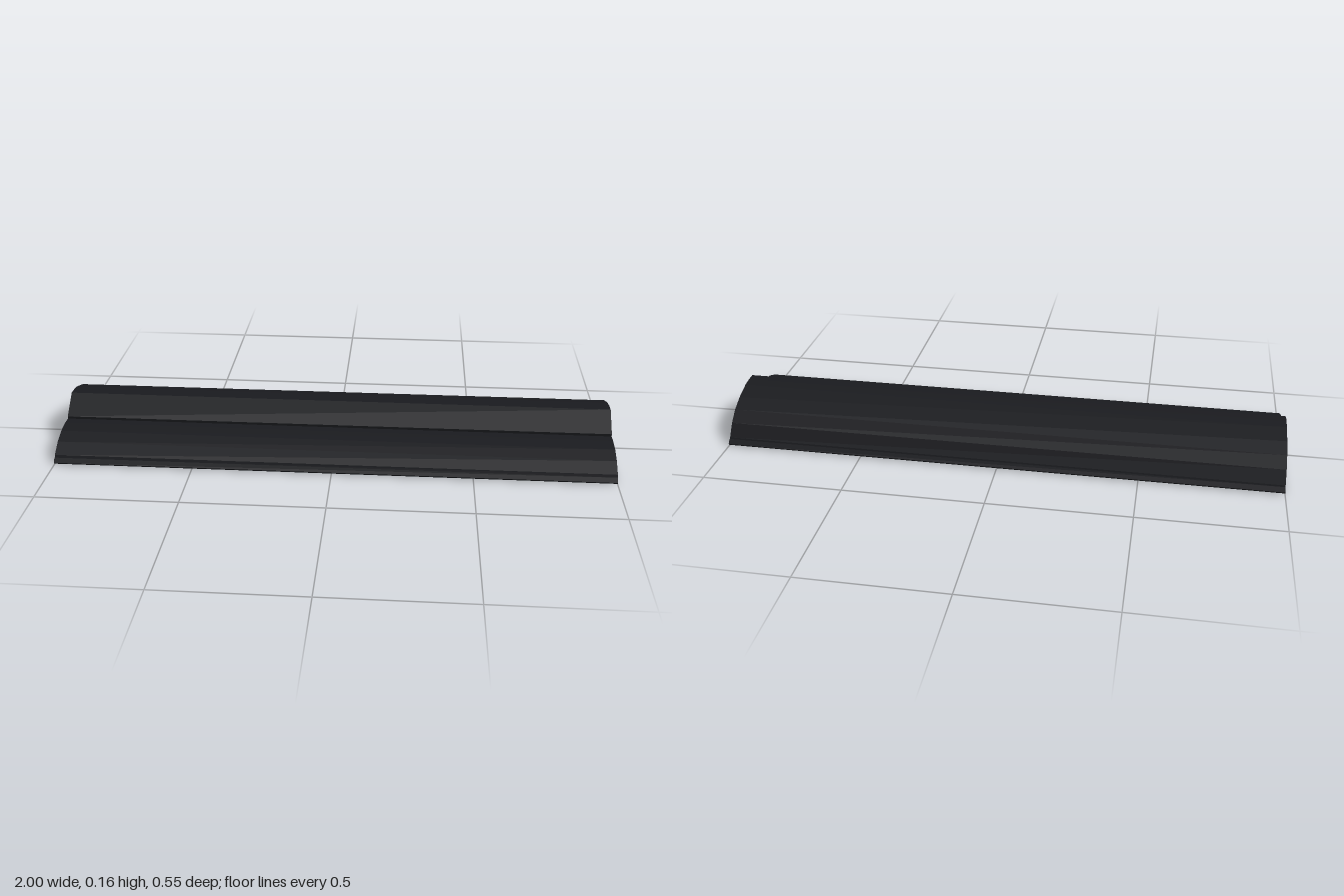
import * as THREE from 'three';

const LENGTH = 2;
const material = new THREE.MeshStandardMaterial({ color: 0x1a1b1f });

// Sweep a [z, y] cross-section along the full length in x
function strip(name, profile) {
  const shape = new THREE.Shape(profile.map(([z, y]) => new THREE.Vector2(-z, y)));
  const geometry = new THREE.ExtrudeGeometry(shape, { depth: LENGTH, bevelEnabled: false });
  geometry.rotateY(Math.PI / 2).translate(-LENGTH / 2, 0, 0);
  const mesh = new THREE.Mesh(geometry, material);
  mesh.name = name;
  return mesh;
}

export function createModel() {
  const model = new THREE.Group();
  model.name = 'ramp';

  // Main body: low front hump, step, sloped face and tall rounded back
  model.add(strip('body', [
    [0.266, 0.005], [0.261, 0.018], [0.255, 0.03], [0.21, 0.06], [0.16, 0.079],
    [0.108, 0.086], [0.074, 0.086], [0.074, 0.095],
    [0, 0.158], [-0.035, 0.157], [-0.07, 0.152], [-0.135, 0.131],
    [-0.186, 0.105], [-0.226, 0.07], [-0.257, 0.026], [-0.261, 0.018], [-0.266, 0.005],
  ]));

  // Mirrored edge lips and low foot rails
  for (const [side, s] of [['front', 1], ['back', -1]]) {
    const mirror = (points) => points.map(([z, y]) => [z * s, y]);
    model.add(strip(side + 'Lip', mirror([
      [0.266, 0.005], [0.275, 0.005], [0.276, 0.009], [0.263, 0.023], [0.261, 0.018],
    ])));
    model.add(strip(side + 'Foot', mirror([
      [0.196, 0.005], [0.202, 0], [0.231, 0], [0.231, 0.005],
    ])));
  }
  return model;
}
